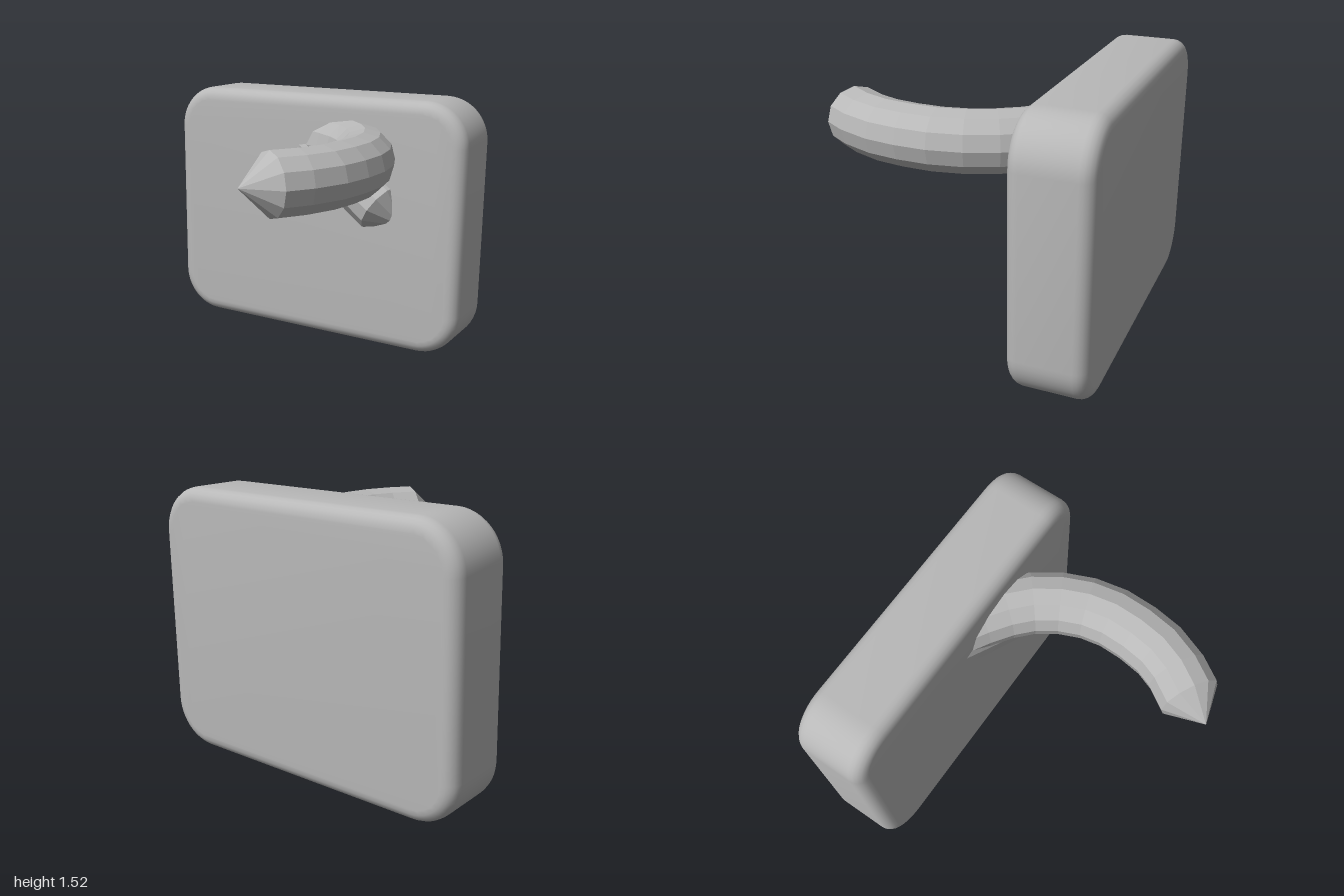
import * as THREE from 'three';
import { toCreasedNormals } from 'three/addons/utils/BufferGeometryUtils.js';

const SIDES = 12;

// Rounded rectangle outline centred on the origin
function roundedRect(w, h, r) {
  const s = new THREE.Shape();
  const x = w / 2, y = h / 2;
  s.moveTo(-x + r, -y);
  s.lineTo(x - r, -y);
  s.absarc(x - r, -y + r, r, -Math.PI / 2, 0);
  s.lineTo(x, y - r);
  s.absarc(x - r, y - r, r, 0, Math.PI / 2);
  s.lineTo(-x + r, y);
  s.absarc(-x + r, y - r, r, Math.PI / 2, Math.PI);
  s.lineTo(-x, -y + r);
  s.absarc(-x + r, -y + r, r, Math.PI, Math.PI * 1.5);
  return s;
}

// Faceted tube along the points, closed by a pointed tip at its far end
function pointedTube(name, points, radius, steps, tip, material) {
  const group = new THREE.Group();
  group.name = name;
  const curve = new THREE.CatmullRomCurve3(points.map(p => new THREE.Vector3(...p)));
  const tube = new THREE.TubeGeometry(curve, steps, radius, SIDES, false);
  const body = new THREE.Mesh(tube, material);
  body.name = name + 'Body';

  // Fan from the last ring of the tube to the tip
  const pos = tube.attributes.position;
  const first = steps * (SIDES + 1);
  const corners = [];
  for (let i = 0; i < SIDES; i++) {
    const a = new THREE.Vector3().fromBufferAttribute(pos, first + i);
    const b = new THREE.Vector3().fromBufferAttribute(pos, first + i + 1);
    const c = new THREE.Vector3(...tip);
    // Keep every face turned away from the tube's axis
    const normal = b.clone().sub(a).cross(c.clone().sub(a));
    const outward = a.clone().add(b).multiplyScalar(0.5).sub(curve.getPoint(1));
    corners.push(...(normal.dot(outward) > 0 ? [a, b, c] : [b, a, c]));
  }
  const fan = new THREE.BufferGeometry().setFromPoints(corners);
  fan.computeVertexNormals();
  const point = new THREE.Mesh(fan, material);
  point.name = name + 'Tip';
  group.add(body, point);
  return group;
}

export function createModel() {
  const model = new THREE.Group();
  model.name = 'wallHook';
  const grey = new THREE.MeshStandardMaterial({ color: 0xb8b8b8 });
  grey.name = 'grey';
  const facetedGrey = grey.clone();
  facetedGrey.flatShading = true;
  facetedGrey.name = 'facetedGrey';

  // Thick back plate with softened edges
  const bevel = 0.075, depth = 0.44;
  const plateGeometry = new THREE.ExtrudeGeometry(roundedRect(1.99, 1.525, 0.26), {
    depth: depth - 2 * bevel, bevelEnabled: true, bevelThickness: bevel,
    bevelSize: bevel, bevelOffset: -bevel, bevelSegments: 5, curveSegments: 6,
  });
  const plate = new THREE.Mesh(toCreasedNormals(plateGeometry, 0.7), grey);
  plate.name = 'backPlate';
  plate.position.set(0, 0.767, -0.86 + bevel);
  model.add(plate);

  // Long curved hook sweeping forward out of the plate
  model.add(pointedTube('hook', [
    [0.03, 1.22, -0.59], [0.24, 1.22, -0.46], [0.40, 1.22, -0.32], [0.52, 1.22, -0.13],
    [0.58, 1.22, 0.07], [0.58, 1.22, 0.30], [0.535, 1.22, 0.51], [0.42, 1.22, 0.705],
  ], 0.172, 10, [0.335, 1.22, 0.86], facetedGrey));

  // Short prong lying half sunk in the plate
  model.add(pointedTube('prong', [
    [-0.05, 1.2, -0.585], [0.2, 1.06, -0.52], [0.475, 0.875, -0.475],
  ], 0.167, 5, [0.61, 0.775, -0.48], facetedGrey));

  return model;
}
